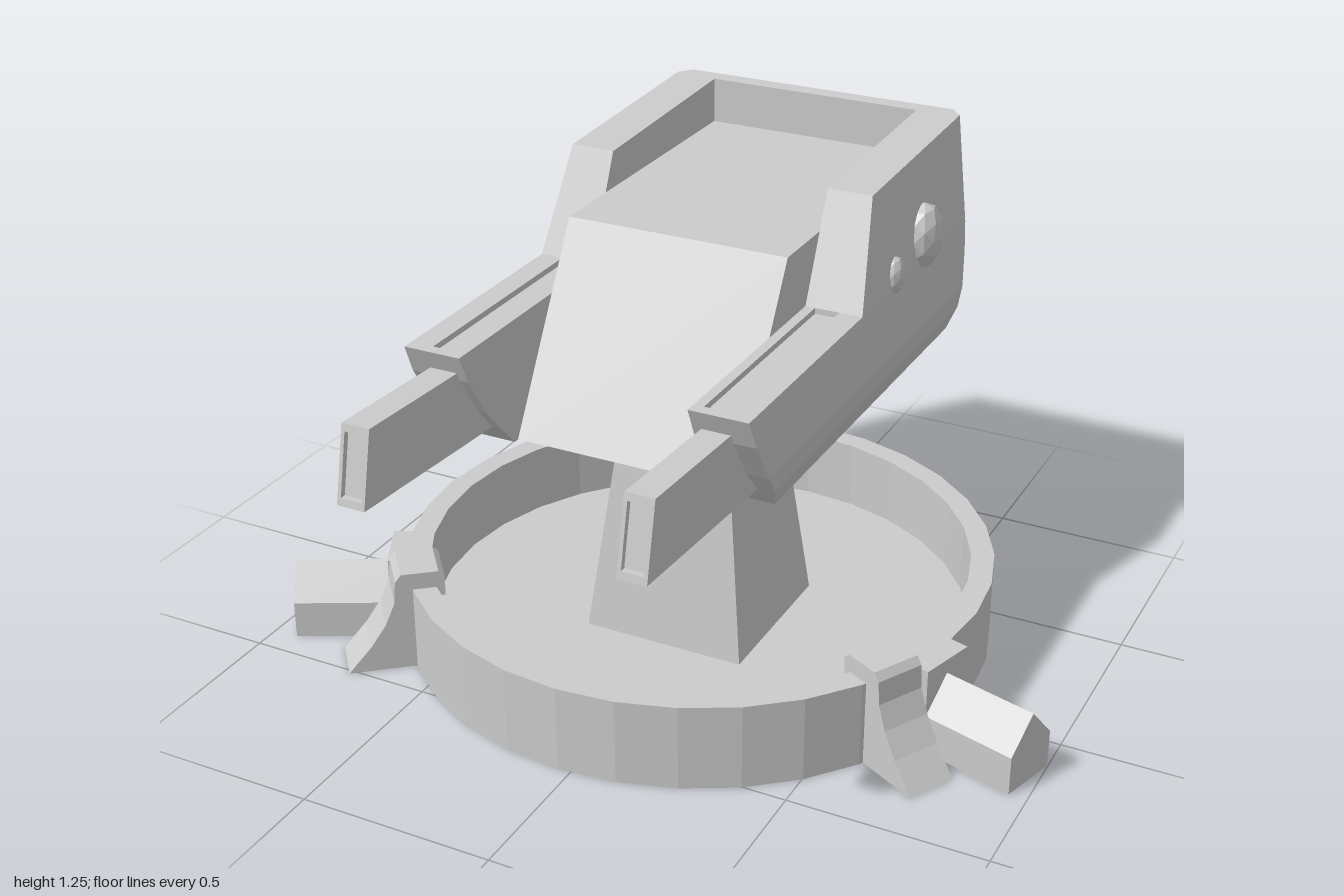
import * as THREE from 'three';

const CX = -0.035, CZ = -0.13; // axis of the base
const mat = new THREE.MeshStandardMaterial({ color: 0xcccccc, flatShading: true });

function add(parent, name, geometry) {
  const mesh = new THREE.Mesh(geometry, mat);
  mesh.name = name;
  parent.add(mesh);
  return mesh;
}

// Skin between loops of [x, y, z] points (counter-clockwise from above), closed at both ends
function loft(rings) {
  const pos = [];
  const V = (p) => new THREE.Vector3(...p);
  const tri = (a, b, c) => {
    const n = V(b).sub(V(a)).cross(V(c).sub(V(a)));
    if (n.length() > 1e-8) pos.push(...a, ...b, ...c);
    return n;
  };
  for (let k = 0; k < rings.length - 1; k++) {
    const a = rings[k], b = rings[k + 1];
    a.forEach((p, i) => {
      const j = (i + 1) % a.length;
      tri(p, a[j], b[j]);
      tri(p, b[j], b[i]);
    });
  }
  const cap = (ring, up) => {
    const flat = ring.map((p) => new THREE.Vector2(p[0], -p[2]));
    for (const [i, j, k] of THREE.ShapeUtils.triangulateShape(flat, [])) {
      const A = flat[i], B = flat[j], C = flat[k];
      const ccw = (B.x - A.x) * (C.y - A.y) - (B.y - A.y) * (C.x - A.x) > 0;
      if (ccw === up) tri(ring[i], ring[j], ring[k]);
      else tri(ring[i], ring[k], ring[j]);
    }
  };
  cap(rings[0], false);
  cap(rings[rings.length - 1], true);
  const g = new THREE.BufferGeometry();
  g.setAttribute('position', new THREE.Float32BufferAttribute(pos, 3));
  g.computeVertexNormals();
  return g;
}

// Outline in (a, y), extruded by w and centred on the depth axis
function slab(points, w) {
  const shape = new THREE.Shape(points.map((p) => new THREE.Vector2(...p)));
  return new THREE.ExtrudeGeometry(shape, { depth: w, bevelEnabled: false }).translate(0, 0, -w / 2);
}
// Same, with the outline in (z, y) and the width along x
const slabX = (points, w) => slab(points, w).rotateY(-Math.PI / 2);

// One U-shaped loop of the housing: h = outer half width, zf = front of arms, drop = groove depth
function housingRing(y, h, zf, drop = 0, rise = 0) {
  const half = [
    [0.29, -0.79, 0], [0.29, zf, 0], [0.315, zf, 0], [0.315, zf, drop],
    [0.378, zf, drop], [0.378, zf, 0], [h, zf, 0], [h, -0.8, 0], [h - 0.03, -0.833, 0],
  ].map(([x, z, d]) => [x, y - d + rise * (zf - z), z]);
  return [...half, ...half.map(([x, yy, z]) => [-x, yy, z]).reverse()];
}

function barrelGeometry() {
  const ring = (w, top, bottom, zTop, zBottom) =>
    [[-w, bottom, zBottom], [w, bottom, zBottom], [w, top, zTop], [-w, top, zTop]]
      .map(([x, y, z]) => [x, z, -y]);
  return loft([
    ring(0.036, 0.9, 0.705, 0.2, 0.2),
    ring(0.036, 0.93, 0.745, 0.85, 0.89),
    ring(0.027, 0.912, 0.763, 0.854, 0.886),
    ring(0.027, 0.912, 0.763, 0.839, 0.871),
  ]).rotateX(Math.PI / 2);
}

export function createModel() {
  const model = new THREE.Group();
  model.name = 'turret';

  // Dish-shaped base and tapered square post
  const base = new THREE.Group();
  base.name = 'base';
  base.position.set(CX, 0, CZ);
  model.add(base);
  const profile = [[0, 0], [0.76, 0], [0.76, 0.225], [0.7, 0.225], [0.7, 0.04], [0, 0.04]];
  add(base, 'baseDish', new THREE.LatheGeometry(profile.map((p) => new THREE.Vector2(...p)), 32));
  const post = new THREE.CylinderGeometry(0.145 * Math.SQRT2, 0.217 * Math.SQRT2, 0.61, 4, 1);
  add(base, 'post', post.rotateY(Math.PI / 4).translate(0, 0.345, 0));

  // Gabled feet and rim clamps, placed by angle around the base
  const gable = [[-0.077, 0], [0.077, 0], [0.077, 0.1], [0, 0.187], [-0.077, 0.1]];
  const clamp = [[0.74, 0], [0.93, 0], [0.87, 0.07], [0.83, 0.13], [0.805, 0.19], [0.8, 0.25],
    [0.785, 0.27], [0.69, 0.27], [0.675, 0.255], [0.675, 0.2], [0.74, 0.2]];
  const radial = (name, degrees) => {
    const g = new THREE.Group();
    g.name = name;
    g.rotation.y = -THREE.MathUtils.degToRad(degrees);
    base.add(g);
    return g;
  };
  for (const [side, footAngle, clampAngle] of [['left', 16.6, 28], ['right', 152.3, 140.3]]) {
    const foot = radial(side + 'Foot', footAngle);
    add(foot, 'footBlock', slabX(gable, 0.3).translate(0.755 + 0.3, 0, 0));
    foot.children[0].position.x = -0.15;
    add(foot, 'footBracket', new THREE.BoxGeometry(0.08, 0.225, 0.154).translate(0.765, 0.1125, 0));
    add(radial(side + 'Clamp', clampAngle), 'rimClamp', slab(clamp, 0.13));
  }

  // Head: U-shaped housing with two forward arms
  const head = new THREE.Group();
  head.name = 'head';
  head.position.x = CX;
  model.add(head);
  add(head, 'housing', loft([
    housingRing(0.65, 0.4, 0.295),
    housingRing(0.72, 0.43, 0.362),
    housingRing(0.78, 0.44, 0.415),
    housingRing(0.89, 0.44, 0.487),
    housingRing(0.965, 0.437, 0.52),
    housingRing(0.965, 0.437, 0.49),
    housingRing(0.965, 0.437, 0.49, 0.015),
    housingRing(0.965, 0.437, -0.105, 0.015),
    housingRing(0.965, 0.437, -0.105),
    housingRing(1.225, 0.405, -0.22, 0, 0.041),
  ]));

  // Core block with sloping front between the arms
  add(head, 'core', slabX([[-0.79, 0.65], [0.28, 0.65], [0.005, 1.13], [-0.79, 1.13]], 0.58));

  // Barrels and faceted side studs, mirrored
  for (const s of [1, -1]) {
    const side = s > 0 ? 'left' : 'right';
    add(head, side + 'Barrel', barrelGeometry()).position.x = s * 0.348;
    const studs = [['LargeStud', 1.025, -0.515, 0.05, 0.087, 0.07], ['SmallStud', 0.99, -0.32, 0.03, 0.05, 0.04]];
    for (const [name, y, z, rx, ry, rz] of studs) {
      const stud = add(head, side + name, new THREE.IcosahedronGeometry(1, 1));
      stud.position.set(s * 0.427, y, z);
      stud.scale.set(rx, ry, rz);
    }
  }
  return model;
}
